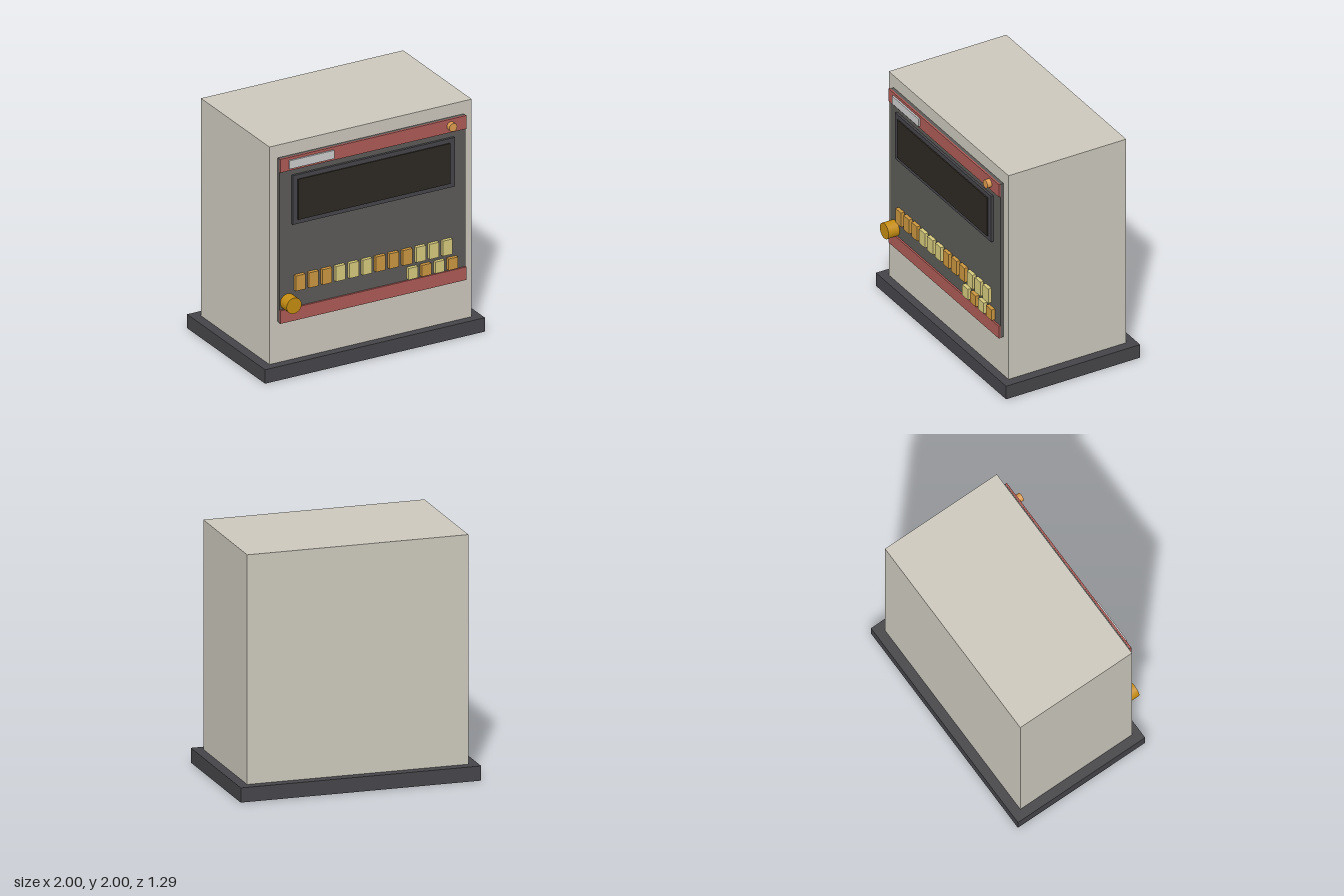
import * as THREE from 'three';

const mat = (color) => new THREE.MeshStandardMaterial({ color });
const M = {
  shell: mat(0xcbc7bc), dark: mat(0x454448), panel: mat(0x5b5a57), red: mat(0xac5a55),
  glass: mat(0x2d2822), label: mat(0xd2d2d0), orange: mat(0xca9640), yellow: mat(0xd5c97c),
  lamp: mat(0xdc9a50), brass: mat(0xc48c12),
};

export function createModel() {
  const model = new THREE.Group();
  model.name = 'controlCabinet';

  // Box given by its extents along each axis
  const box = (name, material, [x0, x1], [y0, y1], [z0, z1], parent = model) => {
    const mesh = new THREE.Mesh(new THREE.BoxGeometry(x1 - x0, y1 - y0, z1 - z0), material);
    mesh.position.set((x0 + x1) / 2, (y0 + y1) / 2, (z0 + z1) / 2);
    mesh.name = name;
    parent.add(mesh);
  };

  // Cylinder with its axis along z
  const disc = (name, material, x, y, r, z0, z1, sides) => {
    const geometry = new THREE.CylinderGeometry(r, r, z1 - z0, sides).rotateX(Math.PI / 2);
    const mesh = new THREE.Mesh(geometry, material);
    mesh.position.set(x, y, (z0 + z1) / 2);
    mesh.name = name;
    model.add(mesh);
  };

  // Plinth and housing
  box('base', M.dark, [-1, 1], [0, 0.12], [-0.645, 0.585]);
  box('cabinet', M.shell, [-0.92, 0.92], [0.12, 2], [-0.565, 0.515]);

  // Front panel with its red trim
  box('frontPanel', M.panel, [-0.845, 0.845], [0.475, 1.89], [0.515, 0.545]);
  box('topTrim', M.red, [-0.847, 0.847], [1.778, 1.893], [0.545, 0.56]);
  box('bottomTrim', M.red, [-0.847, 0.847], [0.472, 0.584], [0.545, 0.56]);
  box('namePlate', M.label, [-0.77, -0.365], [1.798, 1.87], [0.56, 0.575]);

  // Display window
  box('displayFrame', M.dark, [-0.737, 0.737], [1.306, 1.73], [0.545, 0.566]);
  box('displayGlass', M.glass, [-0.692, 0.692], [1.343, 1.692], [0.566, 0.576]);

  // Indicator lamp and rotary knob
  disc('indicatorLamp', M.lamp, 0.704, 1.836, 0.036, 0.56, 0.6, 16);
  disc('rotaryKnob', M.brass, -0.771, 0.644, 0.068, 0.545, 0.645, 24);

  // Main row: twelve keys in alternating groups of three
  const keys = new THREE.Group();
  keys.name = 'keys';
  model.add(keys);
  for (let i = 0; i < 12; i++) {
    const x = -0.672 + i * 0.1218;
    const material = Math.floor(i / 3) % 2 ? M.yellow : M.orange;
    box('mainKey', material, [x - 0.043, x + 0.043], [0.731, 0.862], [0.545, 0.576], keys);
  }

  // Lower row: four alternating keys
  for (let i = 0; i < 4; i++) {
    const x = 0.354 + i * 0.1213;
    const material = i % 2 ? M.orange : M.yellow;
    box('lowerKey', material, [x - 0.043, x + 0.043], [0.597, 0.696], [0.545, 0.576], keys);
  }

  return model;
}
